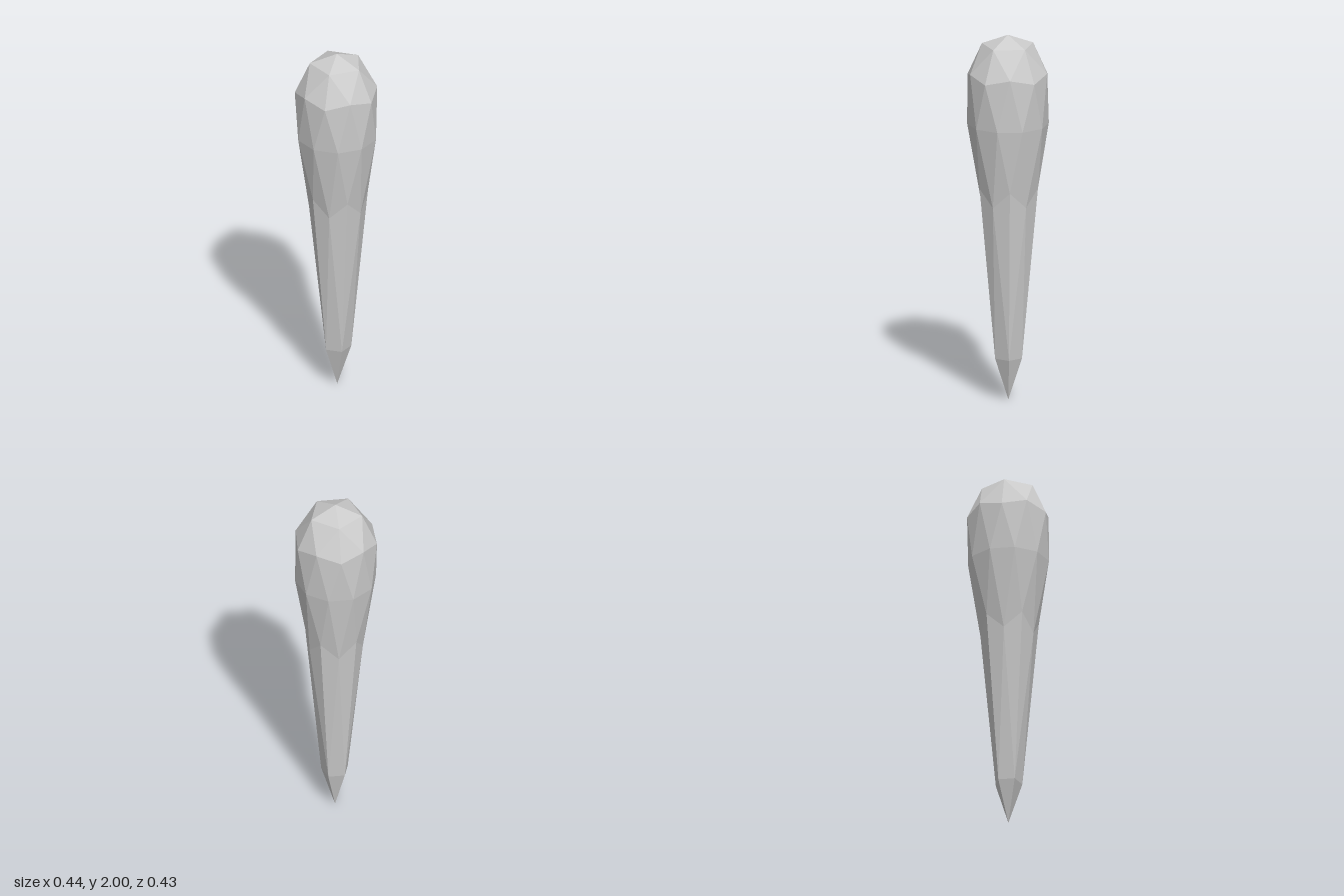
import * as THREE from 'three';

// [height on the unit icosphere, radius, finished height], from top to tip
const PROFILE = [
  [1, 0, 2],
  [0.8507, 0.143, 1.945],
  [0.5257, 0.215, 1.8],
  [0.4472, 0.223, 1.77],
  [0, 0.217, 1.515],
  [-0.4472, 0.163, 1.17],
  [-0.5257, 0.15, 1.08],
  [-0.8507, 0.075, 0.23],
  [-1, 0, 0],
];

export function createModel() {
  const group = new THREE.Group();
  group.name = 'spikeModel';

  // Icosphere turned so that one corner points straight up
  const geometry = new THREE.IcosahedronGeometry(1, 1);
  geometry.rotateZ(Math.atan(2 / (1 + Math.sqrt(5))));
  geometry.rotateY(THREE.MathUtils.degToRad(-32.5));

  // Stretch each ring of the icosphere into a long pointed drop
  const pos = geometry.attributes.position;
  for (let i = 0; i < pos.count; i++) {
    const x = pos.getX(i), y = pos.getY(i), z = pos.getZ(i);
    const [, radius, height] = PROFILE.reduce((best, ring) =>
      Math.abs(ring[0] - y) < Math.abs(best[0] - y) ? ring : best);
    const scale = radius / Math.max(Math.hypot(x, z), 1e-6);
    const shift = height > 1.2 ? -0.003 : 0;
    pos.setXYZ(i, x * scale + shift, height, z * scale);
  }
  geometry.computeVertexNormals();

  const spike = new THREE.Mesh(
    geometry,
    new THREE.MeshStandardMaterial({ color: 0xcccccc, flatShading: true }),
  );
  spike.name = 'spike';
  group.add(spike);
  return group;
}
